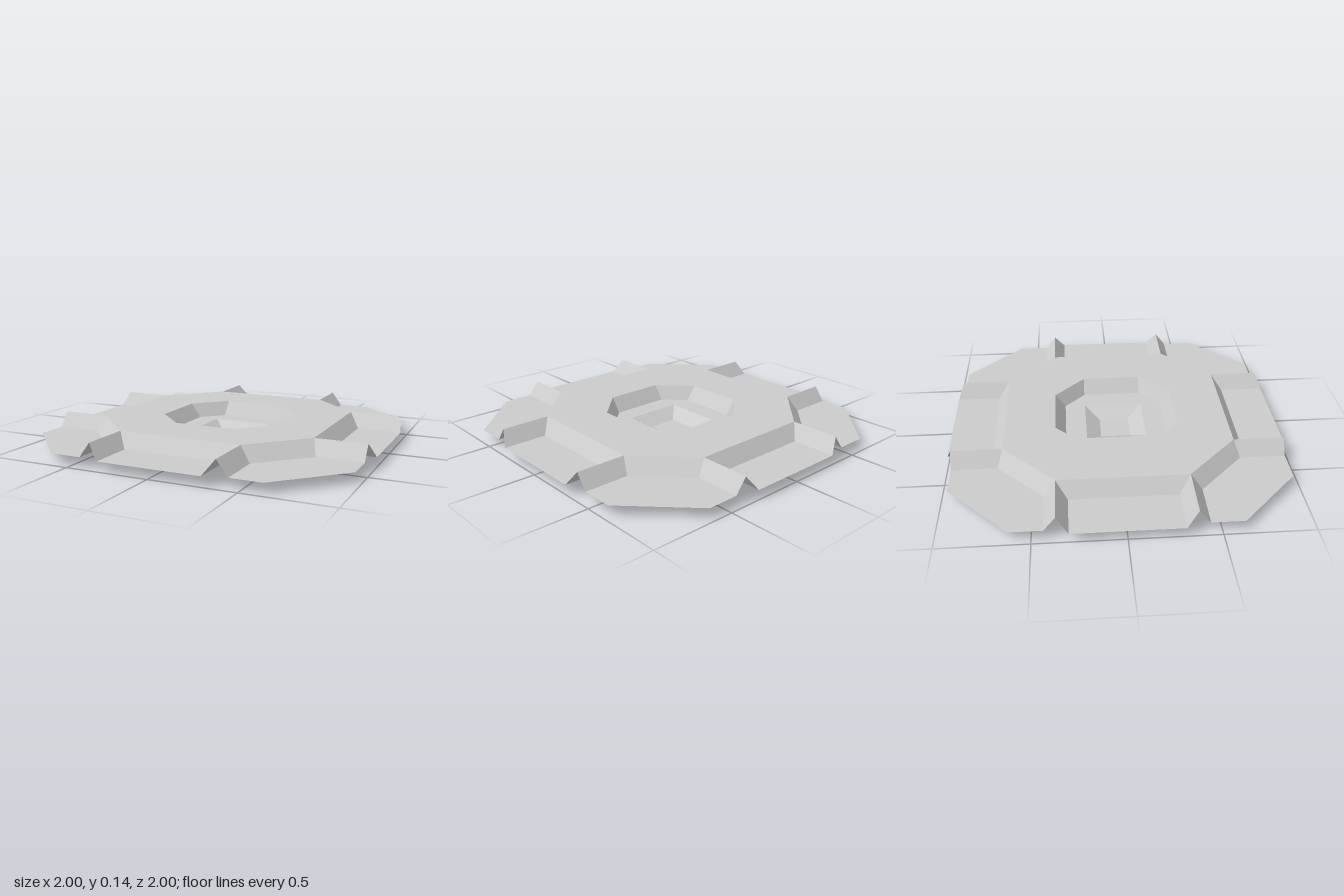
import * as THREE from 'three';

const TOP = 0.143, LOW = 0.057, BASE = 0; // plate, panel and pit-floor heights
const mat = new THREE.MeshStandardMaterial({ color: 0xcccccc, flatShading: true, side: THREE.DoubleSide });

// Mesh from convex facets, corners [x, y, z] counter-clockwise seen from above
function facets(name, polys) {
  const pos = [];
  for (const p of polys)
    for (let i = 1; i < p.length - 1; i++) pos.push(...p[0], ...p[i], ...p[i + 1]);
  const g = new THREE.BufferGeometry();
  g.setAttribute('position', new THREE.Float32BufferAttribute(pos, 3));
  g.computeVertexNormals();
  const m = new THREE.Mesh(g, mat);
  m.name = name;
  return m;
}

// Horizontal plate with a hole
function plate(name, outline, hole, y) {
  const vec = (pts) => pts.map(([x, z]) => new THREE.Vector2(x, z));
  const s = new THREE.Shape(vec(outline));
  s.holes.push(new THREE.Path(vec(hole)));
  const m = new THREE.Mesh(new THREE.ShapeGeometry(s).rotateX(-Math.PI / 2), mat);
  m.name = name;
  m.position.y = y;
  return m;
}

const octagon = (a, b) => [[b, -a], [b, a], [a, b], [-a, b], [-b, a], [-b, -a], [-a, -b], [a, -b]];
const square = (a) => [[a, -a], [a, a], [-a, a], [-a, -a]];

// Sloping wall joining two rings with equal corner counts
function wall(name, outer, yOuter, inner, yInner) {
  return facets(name, outer.map(([x, z], i) => {
    const j = (i + 1) % outer.length;
    const [x2, z2] = outer[j], [u, v] = inner[i], [u2, v2] = inner[j];
    return [[x, yOuter, z], [u, yInner, v], [u2, yInner, v2], [x2, yOuter, z2]];
  }));
}

// One quarter: the front panel, its two ridges, and one corner panel
function quarter() {
  const g = new THREE.Group();
  const a = 0.37, b = 0.67, e = 0.967;
  g.add(facets('sidePanel', [
    [[-0.305, LOW, 0.735], [-0.305, LOW, 1], [0.305, LOW, 1], [0.305, LOW, 0.735]],
  ]));
  g.add(facets('sidePanelSlopes', [
    [[-a, TOP, b], [-0.305, LOW, 0.735], [0.305, LOW, 0.735], [a, TOP, b]],
    [[0.305, LOW, 0.735], [0.305, LOW, 1], [a, TOP, e], [a, TOP, b]],
    [[-a, TOP, b], [-a, TOP, e], [-0.305, LOW, 1], [-0.305, LOW, 0.735]],
  ]));
  const p = 0.435, q = 0.702;
  g.add(facets('cornerPanel', [
    [[p, LOW, q], [p, LOW, e], [0.62, LOW, e], [e, LOW, 0.62], [e, LOW, p], [q, LOW, p]],
  ]));
  g.add(facets('cornerPanelSlopes', [
    [[a, TOP, b], [p, LOW, q], [q, LOW, p], [b, TOP, a]],
    [[a, TOP, b], [a, TOP, e], [p, LOW, e], [p, LOW, q]],
    [[b, TOP, a], [q, LOW, p], [e, LOW, p], [e, TOP, a]],
  ]));
  return g;
}

export function createModel() {
  const model = new THREE.Group();
  model.name = 'octagonalPanel';

  // Raised plate, recess and central pit
  const rim = octagon(0.18, 0.367), floor = octagon(0.18, 0.305);
  model.add(plate('raisedPlate', octagon(0.37, 0.67), rim, TOP));
  model.add(wall('recessWall', rim, TOP, floor, LOW));
  model.add(plate('recessFloor', floor, square(0.18), LOW));
  model.add(wall('pitWall', square(0.18), LOW, square(0.09), BASE));
  model.add(facets('pitFloor', [square(0.09).reverse().map(([x, z]) => [x, BASE, z])]));

  // Four side panels and four corner panels
  for (let i = 0; i < 4; i++) {
    const q = quarter();
    q.name = 'edgeSection' + (i + 1);
    q.rotation.y = (i * Math.PI) / 2;
    model.add(q);
  }
  return model;
}
